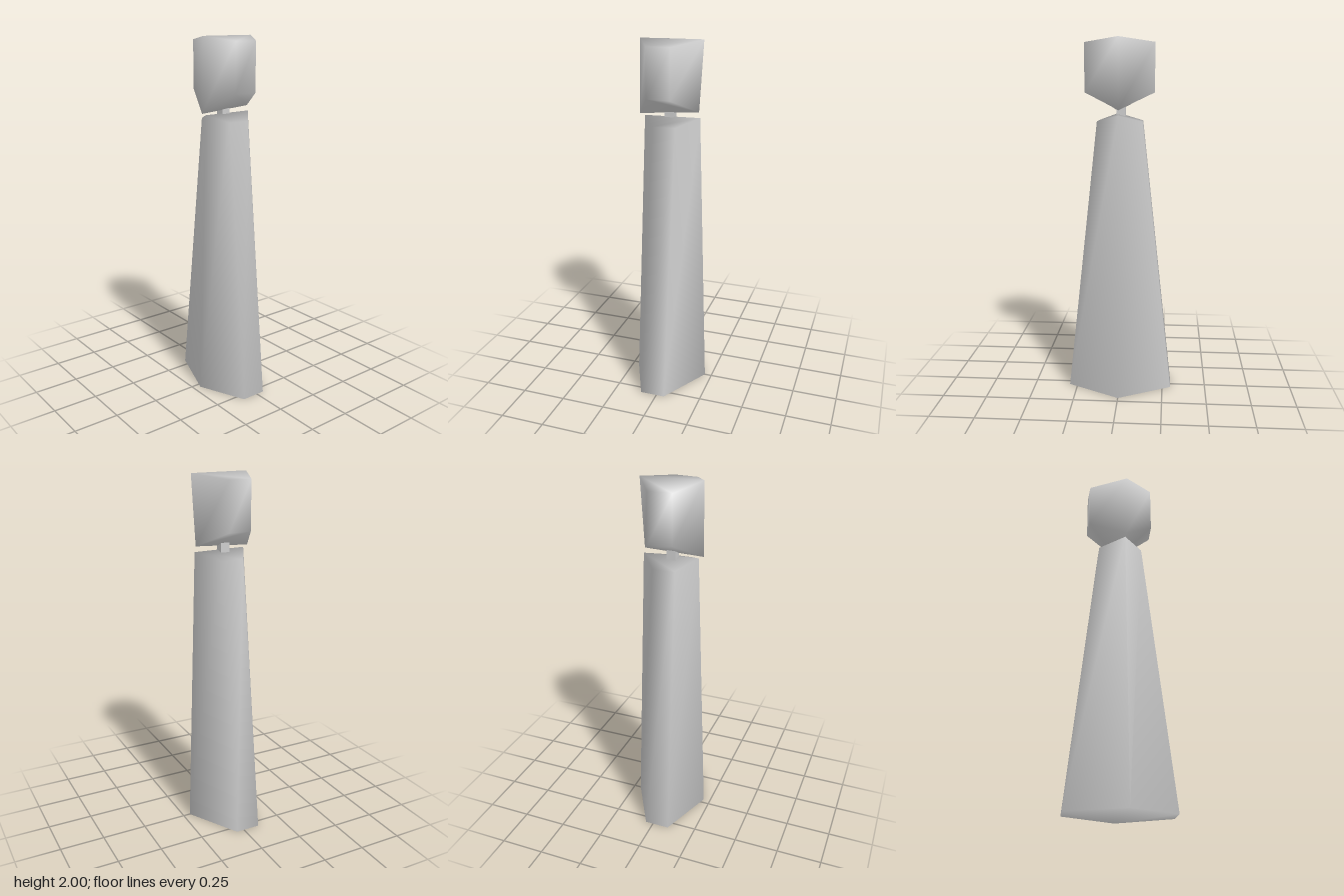
import * as THREE from 'three';

// Closed smooth loft between two six-cornered rings, listed clockwise from above.
// Each ring starts at its back corner; corner 3 is the front one.
function loft(lower, upper) {
  const n = lower.length;
  const index = [];
  for (let i = 0; i < n; i++) {
    const j = (i + 1) % n;
    index.push(j, i, n + i, j, n + i, n + j);
  }
  // end caps, folded along the line from back corner to front corner
  for (let i = 1; i < n - 1; i++) {
    index.push(0, i, i + 1, n, n + i + 1, n + i);
  }
  const geometry = new THREE.BufferGeometry();
  geometry.setAttribute('position', new THREE.Float32BufferAttribute([...lower, ...upper].flat(), 3));
  geometry.setIndex(index);
  geometry.computeVertexNormals();
  return geometry;
}

// Ring from its back point, front point and mirrored side corners.
function ring(back, front, sideY, [bx, bz], [fx, fz]) {
  return [back, [bx, sideY, bz], [fx, sideY, fz], front, [-fx, sideY, fz], [-bx, sideY, bz]];
}

export function createModel() {
  const model = new THREE.Group();
  const grey = new THREE.MeshStandardMaterial({ color: 0xcccccc });
  grey.name = 'pale grey';

  const add = (name, geometry) => {
    const mesh = new THREE.Mesh(geometry, grey);
    mesh.name = name;
    model.add(mesh);
    return mesh;
  };

  // tall tapering body with a low ridged top
  add('body', loft(
    ring([0, 0, -0.21], [0.03, 0, 0.21], 0, [0.296, -0.045], [0.296, 0.095]),
    ring([0, 1.59, -0.157], [0.02, 1.59, 0.15], 1.553, [0.125, -0.055], [0.125, 0.07])
  ));

  // short neck peg between body and head
  add('neck', new THREE.BoxGeometry(0.05, 0.12, 0.05)).position.set(-0.005, 1.6, 0.012);

  // six-sided head, pointed underneath
  add('head', loft(
    ring([0, 1.62, -0.15], [0.025, 1.6, 0.177], 1.71, [0.192, -0.05], [0.186, 0.08]),
    ring([0, 2, -0.173], [0.03, 2, 0.168], 1.976, [0.192, -0.05], [0.186, 0.08])
  ));

  return model;
}
